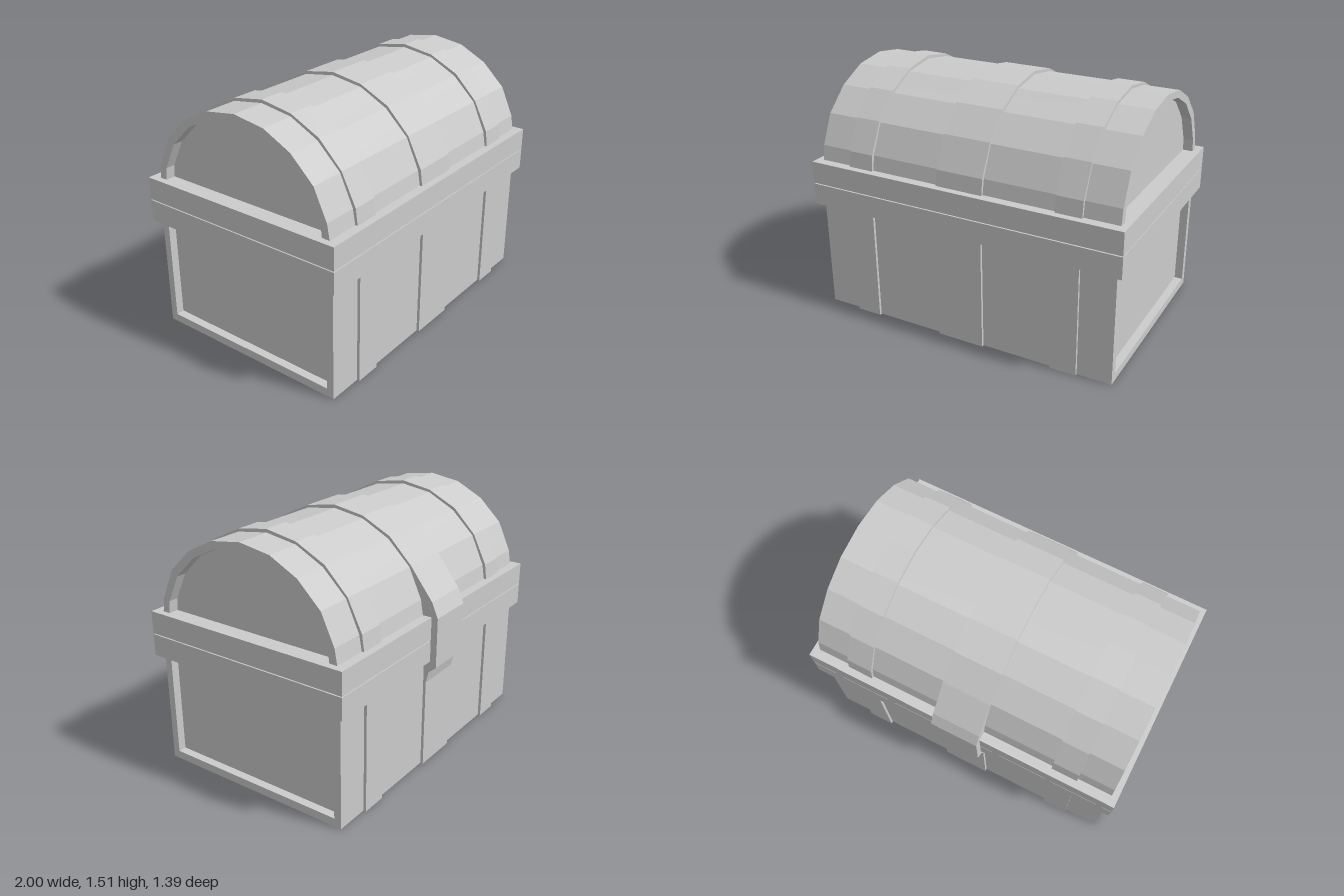
import * as THREE from 'three';

const material = new THREE.MeshStandardMaterial({ color: 0xcccccc, flatShading: true });
const MID = 0.02; // z of the lid's ridge

export function createModel() {
  const model = new THREE.Group();

  const add = (name, geometry) => {
    const mesh = new THREE.Mesh(geometry, material);
    mesh.name = name;
    model.add(mesh);
    return mesh;
  };

  // Box given by its limits
  const box = (name, x0, x1, y0, y1, z0, z1) =>
    add(name, new THREE.BoxGeometry(x1 - x0, y1 - y0, z1 - z0)
      .translate((x0 + x1) / 2, (y0 + y1) / 2, (z0 + z1) / 2));

  // Closed [z, y] outline extruded along x
  const extrudeX = (name, outline, x0, x1) => {
    const shape = new THREE.Shape(outline.map(([z, y]) => new THREE.Vector2(-z, y)));
    const geometry = new THREE.ExtrudeGeometry(shape, { depth: x1 - x0, bevelEnabled: false });
    return add(name, geometry.rotateY(Math.PI / 2).translate(x0, 0, 0));
  };

  // Half profile mirrored about the ridge: front foot, over the top, back foot
  const arch = (half) => [
    ...half.map(([d, y]) => [MID + d, y]),
    [MID, half.top],
    ...half.map(([d, y]) => [MID - d, y]).reverse(),
  ];
  const profile = (top, half) => arch(Object.assign(half, { top }));
  const inner = profile(1.45, [[0.57, 0.95], [0.56, 1.04], [0.48, 1.205], [0.345, 1.337], [0.18, 1.42]]);
  const outer = profile(1.49, [[0.62, 0.95], [0.602, 1.055], [0.52, 1.233], [0.375, 1.372], [0.2, 1.46]]);
  const band = profile(1.51, [[0.635, 0.95], [0.62, 1.06], [0.53, 1.242], [0.385, 1.387], [0.2, 1.477]]);

  // Body with framed, recessed ends
  box('body', -0.91, 0.91, 0, 0.7, -0.615, 0.655);
  for (const s of [-1, 1]) {
    const x0 = s > 0 ? 0.91 : -0.96, x1 = x0 + 0.05;
    box('endSill', x0, x1, 0, 0.05, -0.57, 0.61);
    box('endPostFront', x0, x1, 0, 0.7, 0.61, 0.655);
    box('endPostBack', x0, x1, 0, 0.7, -0.615, -0.57);
  }

  // Rims of body and lid with a fine gap between
  box('bodyRim', -1, 1, 0.69, 0.822, -0.655, 0.695);
  box('rimCore', -0.96, 0.96, 0.8, 0.85, -0.615, 0.655);
  box('lidRim', -1, 1, 0.828, 0.965, -0.655, 0.695);

  // Barrel lid with recessed ends
  extrudeX('lidShell', [...outer, ...[...inner].reverse()], -0.96, 0.96);
  extrudeX('lidEndPanels', inner, -0.9, 0.9);

  // Side straps
  const ring = [...band, ...[...inner].reverse()];
  for (const x0 of [-0.75, 0.59]) {
    extrudeX('lidStrap', ring, x0, x0 + 0.16);
    box('bodyStrap', x0, x0 + 0.16, 0, 0.7, -0.632, 0.672);
  }

  // Centre strap, which runs on over the rims at the back as a hinge
  const hinge = [
    ...band.slice(0, 9), [-0.655, 1.055], [-0.695, 0.965], [-0.695, 0.66],
    [-0.648, 0.62], [-0.632, 0.55], [-0.632, 0], [-0.6, 0], [-0.6, 0.95],
  ];
  extrudeX('hingeStrap', [...hinge, ...[...inner].reverse().slice(1)], -0.148, 0.148);
  box('frontStrap', -0.148, 0.148, 0, 0.7, 0.64, 0.672);

  return model;
}
